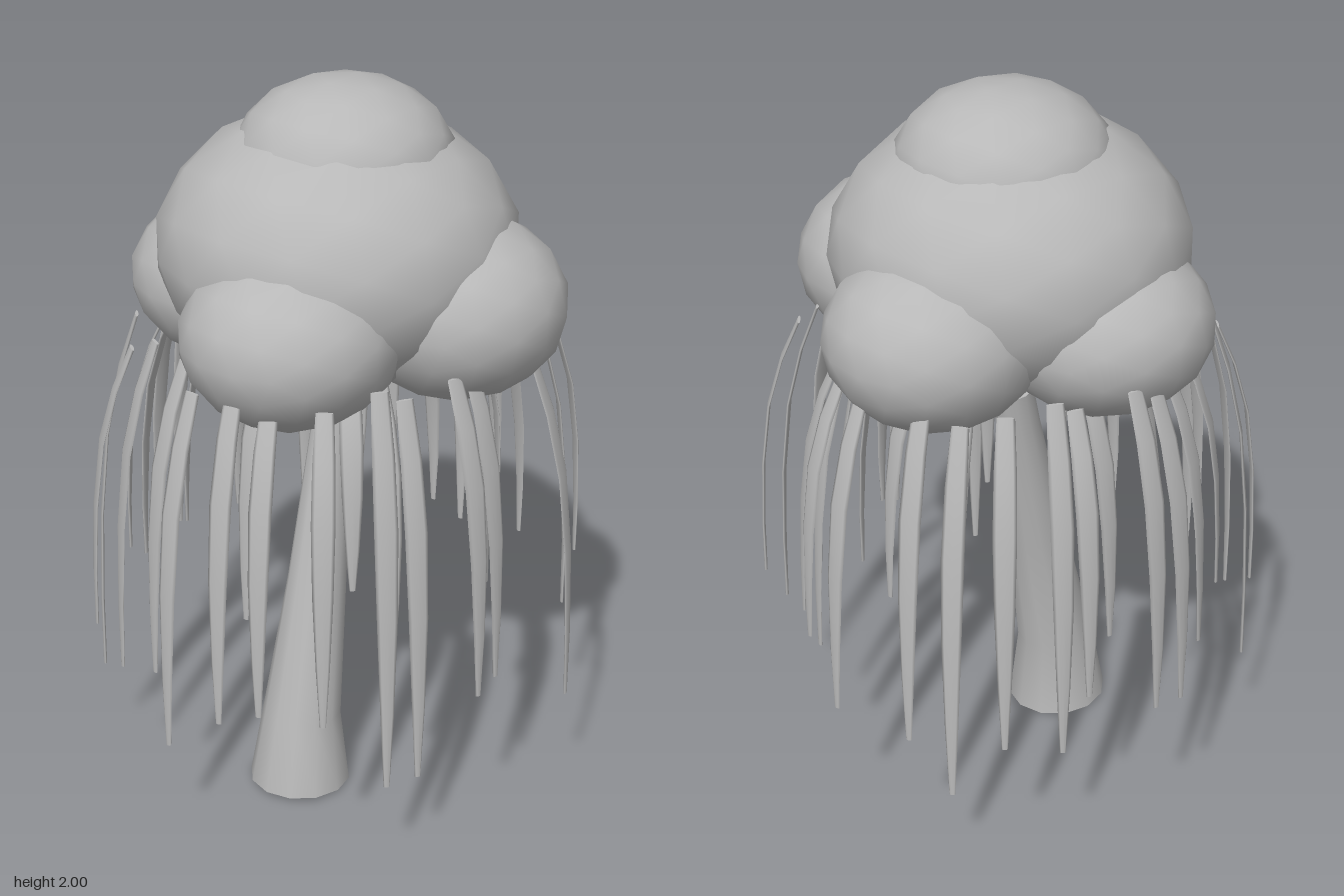
import * as THREE from 'three';

// Lofts elliptical rings [x, y, z, halfWidth, halfDepth, tilt] from top to bottom;
// angle turns the width direction about y. Both ends get their own flat cap.
function loft(rings, sides, angle = 0) {
  const pos = [], index = [];
  const c = Math.cos(angle), s = Math.sin(angle);
  const addRing = ([x, y, z, w, d, tilt = 0]) => {
    const start = pos.length / 3;
    for (let i = 0; i < sides; i++) {
      const t = (i / sides) * Math.PI * 2;
      const u = Math.cos(t) * w, v = Math.sin(t) * d;
      pos.push(x + u * c + v * s, y - u * tilt, z - u * s + v * c);
    }
    return start;
  };
  const starts = rings.map(addRing);
  for (let r = 0; r + 1 < rings.length; r++) {
    for (let i = 0; i < sides; i++) {
      const j = (i + 1) % sides;
      const a = starts[r] + i, b = starts[r] + j;
      const e = starts[r + 1] + i, f = starts[r + 1] + j;
      index.push(a, b, e, b, f, e);
    }
  }
  const top = addRing(rings[0]);
  const bottom = addRing(rings[rings.length - 1]);
  for (let i = 1; i + 1 < sides; i++) {
    index.push(top, top + i + 1, top + i);
    index.push(bottom, bottom + i, bottom + i + 1);
  }
  const g = new THREE.BufferGeometry();
  g.setAttribute('position', new THREE.Float32BufferAttribute(pos, 3));
  g.setIndex(index);
  g.computeVertexNormals();
  return g;
}

export function createModel() {
  const tree = new THREE.Group();
  tree.name = 'willowTree';
  const grey = new THREE.MeshStandardMaterial({ color: 0xb8b8b8 });
  grey.name = 'plainGrey';
  const add = (name, geometry, parent = tree) => {
    const mesh = new THREE.Mesh(geometry, grey);
    mesh.name = name;
    parent.add(mesh);
  };

  // Leaning trunk, flared at the foot, ending just under the crown
  add('trunk', loft([
    [-0.005, 1.12, 0.005, 0.057, 0.055, 0.15],
    [-0.03, 1.0, 0.01, 0.061, 0.057, 0.15],
    [-0.12, 0.6, 0.035, 0.085, 0.08, 0.1],
    [-0.205, 0.22, 0.05, 0.108, 0.11, 0.05],
    [-0.216, 0.007, 0.05, 0.143, 0.14, 0.045],
  ], 12));

  // Leaf masses: name, centre, radii
  const crown = new THREE.Group();
  crown.name = 'crown';
  tree.add(crown);
  const masses = [
    ['mainCrown', [-0.005, 1.555, 0.012], [0.485, 0.37, 0.485]],
    ['topCrown', [0.01, 1.79, 0.02], [0.295, 0.213, 0.292]],
    ['frontCrown', [0.097, 1.432, 0.33], [0.297, 0.246, 0.296]],
    ['backCrown', [-0.07, 1.415, -0.28], [0.297, 0.23, 0.295]],
    ['leftCrown', [0.32, 1.425, -0.07], [0.295, 0.241, 0.288]],
    ['rightCrown', [-0.312, 1.415, 0.115], [0.295, 0.236, 0.29]],
  ];
  for (const [name, centre, radii] of masses) {
    add(name, new THREE.IcosahedronGeometry(1, 2).scale(...radii).translate(...centre), crown);
  }

  // Hanging strands by tip [x, z, y]
  const strands = new THREE.Group();
  strands.name = 'hangingStrands';
  tree.add(strands);
  const tips = [
    // outer ring
    [-0.03, -0.66, 0.45], [0.06, -0.66, 0.46], [0.2, -0.55, 0.5], [0.3, -0.56, 0.37],
    [0.45, -0.5, 0.42], [0.54, -0.39, 0.25], [0.6, -0.285, 0.4], [0.675, -0.07, 0.42],
    [0.655, 0.07, 0.57], [0.585, 0.125, 0.48], [0.56, 0.23, 0.53], [0.54, 0.44, 0.55],
    [0.46, 0.46, 0.42], [0.2, 0.66, 0.32], [-0.05, 0.6, 0.47], [-0.145, 0.615, 0.46],
    [-0.31, 0.545, 0.26], [-0.435, 0.54, 0.29], [-0.55, 0.42, 0.48], [-0.62, 0.26, 0.48],
    [-0.675, 0.17, 0.45], [-0.68, -0.01, 0.31], [-0.62, -0.11, 0.47], [-0.575, -0.28, 0.4],
    [-0.55, -0.4, 0.48], [-0.47, -0.46, 0.29], [-0.33, -0.48, 0.6], [-0.2, -0.55, 0.5],
    // inner ring
    [0.13, 0.43, 0.62], [0.26, 0.36, 0.5], [0.38, 0.28, 0.72], [-0.36, 0.36, 0.78],
    [-0.24, 0.4, 0.55], [0.4, -0.24, 0.65], [-0.18, -0.4, 0.65], [0.02, -0.43, 0.55],
    [-0.42, 0.04, 0.6], [0.42, 0.02, 0.62],
  ];
  // Strand profile: fraction of drop, inset from tip radius, half width
  const profile = [
    [0, 0.128, 0.023], [0.14, 0.078, 0.029], [0.32, 0.036, 0.031],
    [0.55, 0.012, 0.027], [0.8, 0.002, 0.018], [1, 0, 0.008],
  ];
  tips.forEach(([x, z, y], i) => {
    const radius = Math.hypot(x, z);
    const topY = 1.335 + 0.035 * Math.sin(i * 2.3);
    const rings = profile.map(([t, inset, w]) => {
      const k = (radius - inset) / radius;
      return [x * k, topY + (y - topY) * t, z * k, w, 0.0045];
    });
    add('strand', loft(rings, 8, Math.atan2(x, z)), strands);
  });

  return tree;
}
